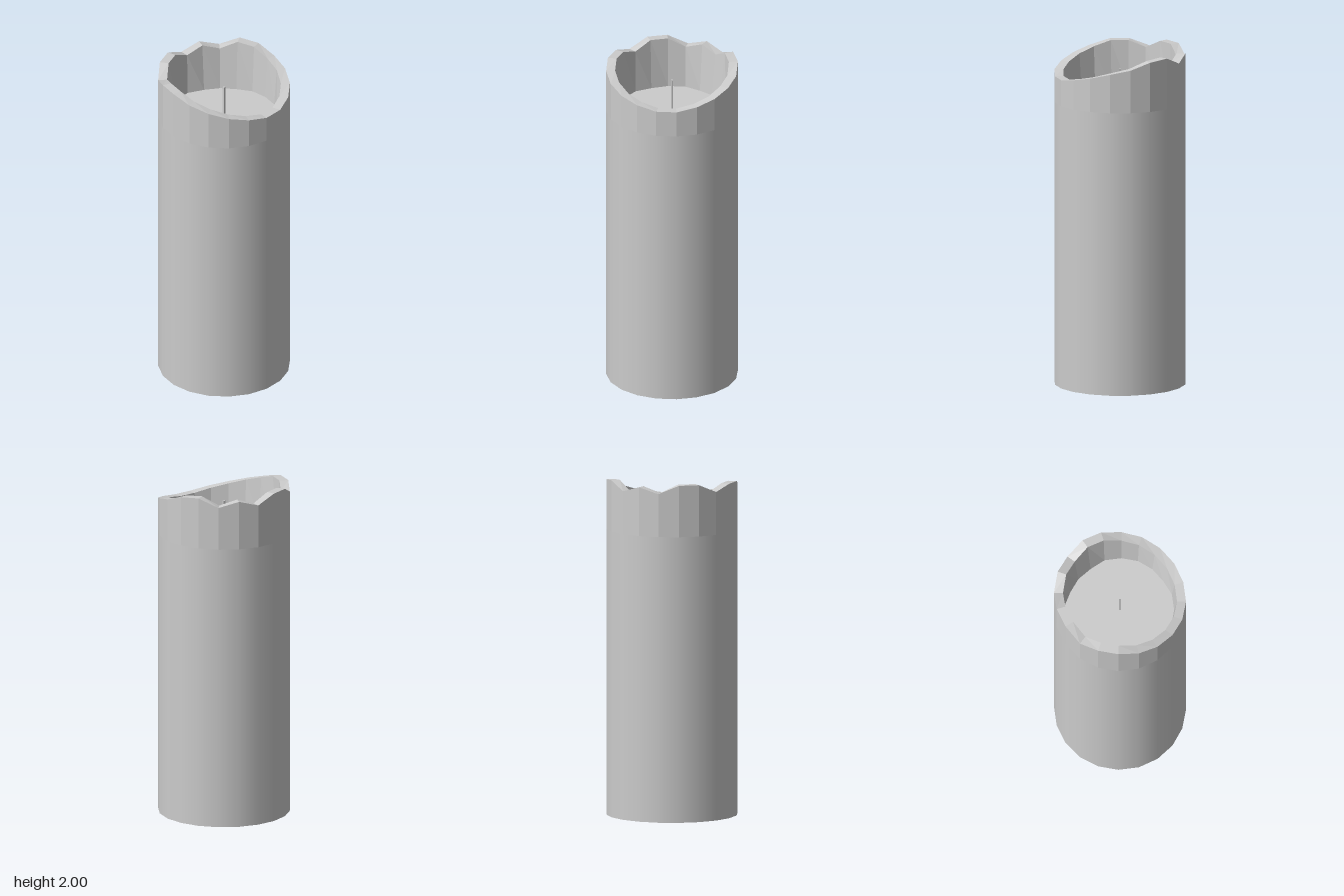
import * as THREE from 'three';

const SIDES = 20, RADIUS = 0.388, RIM_RADIUS = 0.335, SEAM = 1.695;

// Melted rim heights, one per corner, from +x round towards +z
const RIM = [1.85, 1.87, 1.895, 1.925, 1.955, 1.985, 1.985, 1.95, 2, 2,
  1.95, 1.985, 1.95, 2, 1.99, 1.95, 1.925, 1.895, 1.87, 1.85];
// Uneven outline of the sunken floor
const FLOOR = [0.318, 0.318, 0.318, 0.318, 0.318, 0.312, 0.323, 0.332, 0.323, 0.331,
  0.33, 0.31, 0.308, 0.304, 0.318, 0.318, 0.318, 0.313, 0.308, 0.318];

const ring = (radius, height) => RIM.map((_, i) => {
  const a = (i / SIDES) * Math.PI * 2;
  return [radius(i) * Math.cos(a), height(i), radius(i) * Math.sin(a)];
});

// Faceted skin joining consecutive rings of corners
function loft(rings) {
  const p = [];
  for (let r = 0; r < rings.length - 1; r++) {
    for (let i = 0; i < SIDES; i++) {
      const j = (i + 1) % SIDES, lo = rings[r], hi = rings[r + 1];
      p.push(...lo[i], ...hi[i], ...hi[j], ...lo[i], ...hi[j], ...lo[j]);
    }
  }
  const g = new THREE.BufferGeometry();
  g.setAttribute('position', new THREE.Float32BufferAttribute(p, 3));
  g.computeVertexNormals();
  return g;
}

export function createModel() {
  const group = new THREE.Group();
  group.name = 'candle';
  const smooth = new THREE.MeshStandardMaterial({ color: 0xcccccc });
  const faceted = new THREE.MeshStandardMaterial({ color: 0xcccccc, flatShading: true });
  const add = (name, geometry, material) => {
    const mesh = new THREE.Mesh(geometry, material);
    mesh.name = name;
    group.add(mesh);
    return mesh;
  };

  // Smooth shaft and its flat underside
  add('body', new THREE.CylinderGeometry(RADIUS, RADIUS, SEAM, SIDES, 1, true)
    .translate(0, SEAM / 2, 0), smooth);
  add('base', new THREE.CircleGeometry(RADIUS, SIDES).rotateX(Math.PI / 2), faceted);

  // Outer band, uneven lip and tapering inner wall
  const seam = () => SEAM, rim = i => RIM[i];
  const floorEdge = ring(i => FLOOR[i], seam);
  add('meltedRim', loft([
    ring(() => RADIUS, seam),
    ring(() => RADIUS, rim),
    ring(() => RIM_RADIUS, rim),
    floorEdge,
  ]), faceted);

  // Sunken top surface
  add('waxFloor', loft([floorEdge, ring(() => 0.004, seam)]), faceted);

  // Square wick
  add('wick', new THREE.BoxGeometry(0.012, 0.19, 0.012).translate(0, SEAM + 0.095, 0), faceted);

  return group;
}
